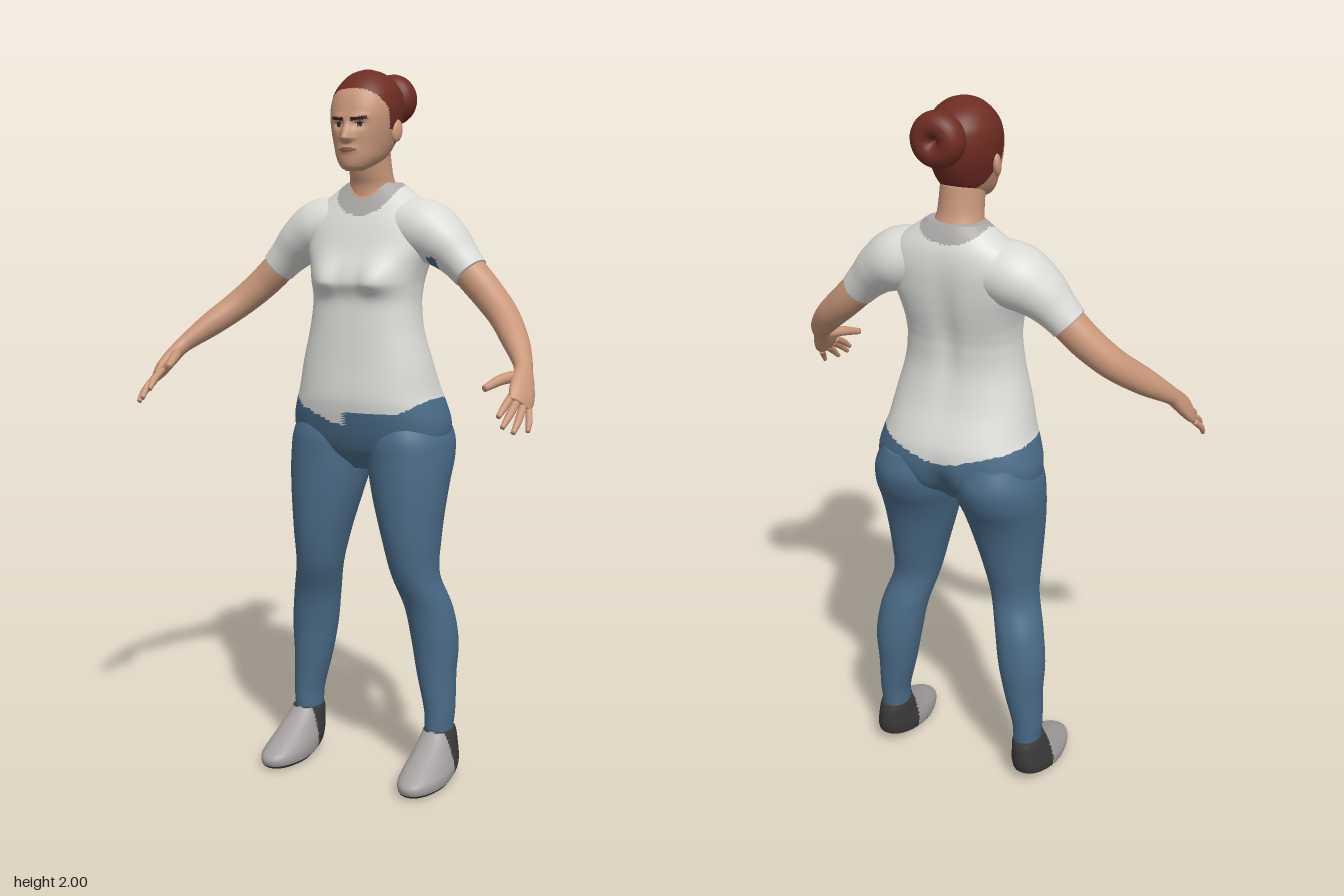
import * as THREE from 'three';

const mat = (name, color) => Object.assign(new THREE.MeshStandardMaterial({ color }), { name });
const gauss = (d, w) => Math.exp(-(d * d) / (w * w));

// Catmull-Rom through rows of numbers, t in 0..1
function spline(rows, t) {
  const f = t * (rows.length - 1), i = Math.min(Math.floor(f), rows.length - 2), u = f - i;
  const at = k => rows[Math.max(0, Math.min(rows.length - 1, k))];
  const [a, b, c, d] = [at(i - 1), at(i), at(i + 1), at(i + 2)];
  return b.map((_, k) => 0.5 * (2 * b[k] + (c[k] - a[k]) * u + (2 * a[k] - 5 * b[k] + 4 * c[k] - d[k]) * u * u
    + (3 * b[k] - a[k] - 3 * c[k] + d[k]) * u * u * u));
}

// Smooth closed skin over rings; pick(centre) chooses a material index per face
function skinOver(name, rings, materials, pick) {
  const n = rings[0].length, m = rings.length;
  const pts = rings.flat();
  const middle = r => r.reduce((s, p) => s.add(p), new THREE.Vector3()).divideScalar(n);
  const lo = pts.push(middle(rings[0])) - 1, hi = pts.push(middle(rings[m - 1])) - 1;
  const faces = materials.map(() => []);
  const c = new THREE.Vector3();
  const tri = (i, j, k) => {
    c.copy(pts[i]).add(pts[j]).add(pts[k]).divideScalar(3);
    faces[pick ? pick(c) : 0].push(i, j, k);
  };
  for (let j = 0; j < n; j++) {
    const k = (j + 1) % n, top = (m - 1) * n;
    tri(lo, j, k);
    for (let i = 0; i < m - 1; i++) {
      tri(i * n + j, (i + 1) * n + j, i * n + k);
      tri(i * n + k, (i + 1) * n + j, (i + 1) * n + k);
    }
    tri(hi, top + k, top + j);
  }
  const g = new THREE.BufferGeometry().setFromPoints(pts);
  g.setIndex(faces.flat());
  let start = 0;
  faces.forEach((f, i) => { if (f.length) g.addGroup(start, f.length, i); start += f.length; });
  g.computeVertexNormals();
  const mesh = new THREE.Mesh(g, materials.length > 1 ? materials : materials[0]);
  mesh.name = name;
  return mesh;
}

// Horizontal slices, bottom to top: [y, centreX, halfWidth, frontZ, backZ, exponent]
function slices(name, rows, n, m, materials, pick, bend) {
  const pw = (v, e) => Math.sign(v) * Math.abs(v) ** (2 / e);
  const rings = Array.from({ length: m + 1 }, (_, i) => {
    const [y, cx, rx, zf, zb, e] = spline(rows, i / m);
    return Array.from({ length: n }, (_, j) => {
      const a = j / n * Math.PI * 2;
      const p = new THREE.Vector3(cx + rx * pw(Math.cos(a), e), y, (zf + zb) / 2 + (zf - zb) / 2 * pw(Math.sin(a), e));
      if (bend) bend(p);
      return p;
    });
  });
  return skinOver(name, rings, materials, pick);
}

// Limb along a path: [x, y, z, width, thickness], s mirrors it to the other side
function limb(name, path, s, n, m, materials, pick) {
  const rows = path.map(([x, y, z, r, r2 = r]) => [x * s, y, z, r, r2]);
  const ref = new THREE.Vector3(s, 1, 0).normalize();
  const rings = Array.from({ length: m + 1 }, (_, i) => {
    const t = i / m, q = spline(rows, t);
    const a = new THREE.Vector3(...spline(rows, Math.max(0, t - 0.01))), b = new THREE.Vector3(...spline(rows, Math.min(1, t + 0.01)));
    const dir = b.sub(a).normalize();
    const u = ref.clone().addScaledVector(dir, -ref.dot(dir)).normalize(), v = u.clone().cross(dir);
    return Array.from({ length: n }, (_, j) => {
      const w = j / n * Math.PI * 2;
      return new THREE.Vector3(q[0], q[1], q[2]).addScaledVector(u, Math.cos(w) * q[4]).addScaledVector(v, Math.sin(w) * q[3]);
    });
  });
  return skinOver(name, rings, materials, pick);
}

export function createModel() {
  const skin = mat('skin', 0xc9977a), hair = mat('hair', 0x6e2c22), shirt = mat('shirt', 0xdadbd7);
  const collar = mat('collar', 0xa9a7a6), denim = mat('denim', 0x4a6b87), shoe = mat('shoe', 0xa5a09f);
  const sole = mat('sole', 0x3b3a3b), brow = mat('brow', 0x3a251f), eye = mat('eye', 0xb9aca2), lip = mat('lip', 0x8f5a4c);
  const model = new THREE.Group();
  model.name = 'woman';

  // Trunk: hips, shirt and neckline
  const trunkRows = [
    [0.895, 0, 0.08, -0.03, -0.14, 2], [0.94, 0, 0.19, 0.015, -0.2, 2.2], [0.98, 0, 0.228, 0.035, -0.235, 2.3],
    [1.03, 0, 0.235, 0.05, -0.248, 2.3], [1.08, 0, 0.222, 0.06, -0.245, 2.3], [1.12, 0, 0.208, 0.062, -0.233, 2.3],
    [1.2, 0, 0.19, 0.055, -0.2, 2.3], [1.29, 0, 0.167, 0.048, -0.178, 2.3], [1.36, 0, 0.157, 0.042, -0.177, 2.4],
    [1.4, 0, 0.157, 0.04, -0.182, 2.5], [1.43, 0, 0.16, 0.04, -0.188, 2.6], [1.47, 0, 0.17, 0.033, -0.196, 2.6],
    [1.52, 0, 0.188, 0.018, -0.203, 2.5], [1.58, 0, 0.195, -0.003, -0.206, 2.4], [1.63, 0, 0.165, -0.026, -0.2, 2.3],
    [1.67, 0, 0.115, -0.045, -0.184, 2.2], [1.695, 0, 0.08, -0.055, -0.17, 2]];
  const trunkPick = p => {
    const front = p.z > -0.11, patch = front && p.x > -0.13 && p.x < -0.01;
    const hem = front ? (patch ? 1.065 - 0.35 * (p.x + 0.13) : 1.068 + 0.6 * Math.max(0, Math.abs(p.x) - 0.15))
      : 1.05 + 0.25 * Math.abs(p.x);
    if (p.y < hem) return 1;
    const d = Math.hypot(p.x, (p.y - 1.7) * (front ? 1 : 1.9));
    return d < 0.05 && front ? 3 : d < 0.095 ? 2 : 0;
  };
  model.add(slices('trunk', trunkRows, 96, 120, [shirt, denim, collar, skin], trunkPick, p => {
    if (p.z > -0.05) { // bust
      const drop = p.y < 1.425 ? 0.032 : 0.06;
      p.z += 0.032 * gauss(p.y - 1.425, drop) * Math.max(gauss(Math.abs(p.x) - 0.075, 0.055), 0.55 * gauss(p.x, 0.08));
    } else { // spine and seat
      p.z += 0.012 * gauss(p.x, 0.03) * gauss(p.y - 1.4, 0.16) + 0.03 * gauss(p.x, 0.03) * gauss(p.y - 0.96, 0.07);
    }
  }));

  // Neck
  model.add(slices('neck', [[1.62, 0, 0.08, -0.035, -0.17, 2], [1.68, 0, 0.067, -0.04, -0.163, 2],
    [1.72, 0, 0.06, -0.028, -0.15, 2], [1.79, 0, 0.057, -0.01, -0.14, 2]], 40, 16, [skin]));

  // Head with hairline and painted face
  const headRows = [
    [1.726, 0, 0.02, 0.032, -0.01, 2], [1.737, 0, 0.04, 0.045, -0.045, 2], [1.76, 0, 0.061, 0.05, -0.11, 2.1],
    [1.79, 0, 0.074, 0.05, -0.142, 2.1], [1.82, 0, 0.083, 0.052, -0.16, 2.1], [1.85, 0, 0.09, 0.051, -0.172, 2.15],
    [1.88, 0, 0.094, 0.049, -0.179, 2.15], [1.91, 0, 0.094, 0.042, -0.181, 2.1], [1.94, 0, 0.087, 0.028, -0.174, 2.1],
    [1.97, 0, 0.068, 0.002, -0.15, 2], [1.99, 0, 0.042, -0.028, -0.113, 2], [2, 0, 0.008, -0.06, -0.076, 2]];
  const hairline = [[-0.2, 1.75], [-0.14, 1.76], [-0.1, 1.785], [-0.06, 1.83], [-0.035, 1.84], [-0.02, 1.9], [0.02, 1.945], [0.1, 1.96]];
  const hairAt = z => {
    const k = Math.max(1, hairline.findIndex(h => h[0] > z)), [a, b] = [hairline[k - 1], hairline[k]];
    return a[1] + (b[1] - a[1]) * (z - a[0]) / (b[0] - a[0]);
  };
  const facePick = p => {
    if (p.y > hairAt(p.z)) return 1;
    if (p.z < 0) return 0;
    const ax = Math.abs(p.x), e = Math.hypot((ax - 0.032) / 0.015, (p.y - 1.85) / 0.0065);
    if (ax > 0.012 && ax < 0.054 && Math.abs(p.y - 1.863 - 0.12 * (ax - 0.012)) < 0.0042) return 2;
    if (e < 1) return Math.abs(ax - 0.032) < 0.006 || p.y > 1.853 ? 2 : 3;
    return Math.hypot(p.x / 0.026, (p.y - 1.783) / 0.0065) < 1 ? 4 : 0;
  };
  model.add(slices('head', headRows, 120, 100, [skin, hair, brow, eye, lip], facePick, p => {
    if (p.z < 0) return;
    const ax = Math.abs(p.x);
    const ridge = p.y > 1.812 ? Math.max(0, 1 - (p.y - 1.812) / 0.055) : Math.max(0, 1 - (1.812 - p.y) / 0.014);
    p.z += 0.027 * ridge * gauss(p.x, 0.008 + 0.007 * ridge);
    p.z -= 0.009 * gauss(ax - 0.03, 0.016) * gauss(p.y - 1.85, 0.012);
    p.z += 0.006 * gauss(p.x, 0.025) * gauss(p.y - 1.783, 0.01) + 0.004 * gauss(p.y - 1.868, 0.01) * gauss(ax - 0.025, 0.03);
  }));

  // Hair bun and its tie
  const bun = new THREE.Mesh(new THREE.TorusGeometry(0.036, 0.035, 24, 40), hair);
  bun.name = 'hairBun';
  bun.scale.z = 1.15;
  bun.position.set(0, 1.925, -0.218);
  const tie = new THREE.Mesh(new THREE.CylinderGeometry(0.03, 0.036, 0.07, 24), hair);
  tie.name = 'bunTie';
  tie.rotation.x = -Math.PI / 2;
  tie.position.set(0, 1.925, -0.195);
  model.add(bun, tie);

  for (const s of [1, -1]) {
    const side = s > 0 ? 'left' : 'right';
    const part = new THREE.Group();
    part.name = side + 'Limbs';
    model.add(part);

    const ear = new THREE.Mesh(new THREE.SphereGeometry(1, 20, 14), skin);
    ear.name = side + 'Ear';
    ear.scale.set(0.011, 0.031, 0.02);
    ear.position.set(s * 0.09, 1.835, -0.068);
    ear.rotation.set(-0.2, s * -0.3, 0);
    part.add(ear);

    // Sleeve, with a small denim patch under the left one
    part.add(limb(side + 'Sleeve', [[0.09, 1.575, -0.107, 0.085, 0.08], [0.165, 1.563, -0.105, 0.093, 0.086],
      [0.225, 1.53, -0.1, 0.079, 0.072], [0.27, 1.49, -0.096, 0.062, 0.057], [0.306, 1.453, -0.092, 0.053, 0.05]],
    s, 48, 36, [shirt, denim], p => (p.x > 0.195 && p.x < 0.225 && p.y < 1.495 && p.z > -0.11 ? 1 : 0)));

    // Arm, palm and fingers
    part.add(limb(side + 'Arm', [[0.27, 1.49, -0.096, 0.045], [0.31, 1.448, -0.092, 0.047], [0.36, 1.4, -0.083, 0.045],
      [0.42, 1.345, -0.055, 0.043, 0.041], [0.48, 1.287, 0.005, 0.039, 0.035], [0.52, 1.245, 0.055, 0.03, 0.026],
      [0.537, 1.222, 0.083, 0.026, 0.022], [0.549, 1.195, 0.113, 0.035, 0.021], [0.56, 1.164, 0.146, 0.04, 0.018],
      [0.565, 1.142, 0.17, 0.034, 0.01]], s, 32, 60, [skin]));
    const fingers = {
      Index: [[0.543, 1.167, 0.165], [0.541, 1.143, 0.207], [0.535, 1.118, 0.237]],
      Middle: [[0.556, 1.152, 0.168], [0.558, 1.123, 0.217], [0.552, 1.094, 0.25]],
      Ring: [[0.57, 1.138, 0.162], [0.577, 1.108, 0.206], [0.575, 1.08, 0.235]],
      Little: [[0.582, 1.128, 0.15], [0.594, 1.102, 0.178], [0.597, 1.079, 0.192]],
      Thumb: [[0.535, 1.208, 0.105], [0.508, 1.202, 0.155], [0.486, 1.184, 0.212]]
    };
    for (const [name, [a, b, c]] of Object.entries(fingers)) {
      const r = name === 'Thumb' ? 0.015 : name === 'Little' ? 0.009 : 0.0105;
      part.add(limb(side + name, [[...a, r], [...b, r * 0.95], [...c, r * 0.6]], s, 14, 12, [skin]));
    }

    // Trouser leg
    const leg = [[0.1, 0.218, 0.036, -0.06, -0.15], [0.15, 0.217, 0.039, -0.055, -0.155], [0.2, 0.217, 0.043, -0.055, -0.16],
      [0.3, 0.205, 0.055, -0.05, -0.172], [0.4, 0.198, 0.067, -0.044, -0.18], [0.5, 0.183, 0.068, -0.028, -0.17],
      [0.6, 0.156, 0.067, 0.008, -0.143], [0.7, 0.145, 0.081, 0.028, -0.158], [0.8, 0.135, 0.1, 0.035, -0.18],
      [0.87, 0.129, 0.112, 0.037, -0.205], [0.93, 0.124, 0.12, 0.037, -0.236], [0.99, 0.118, 0.12, 0.036, -0.25],
      [1.05, 0.108, 0.105, 0.02, -0.235]].map(([y, x, ...r]) => [y, x * s, ...r, 2.1]);
    part.add(slices(side + 'TrouserLeg', leg, 48, 72, [denim]));

    // Shoe with dark heel and sole
    const foot = [[0, 0.224, 0.045, 0.095, -0.12], [0.01, 0.225, 0.06, 0.116, -0.155], [0.035, 0.225, 0.064, 0.12, -0.165],
      [0.06, 0.223, 0.06, 0.085, -0.168], [0.09, 0.222, 0.052, 0.03, -0.168], [0.12, 0.22, 0.046, -0.02, -0.166],
      [0.142, 0.219, 0.041, -0.045, -0.16]].map(([y, x, ...r]) => [y, x * s, ...r, 2.2]);
    part.add(slices(side + 'Shoe', foot, 64, 36, [shoe, sole],
      p => (p.z < -0.065 || p.y < 0.014 ? 1 : 0),
      p => { p.y += 0.03 * Math.max(0, -p.z) / 0.16 * Math.max(0, 1 - p.y / 0.14); }));
  }
  return model;
}
